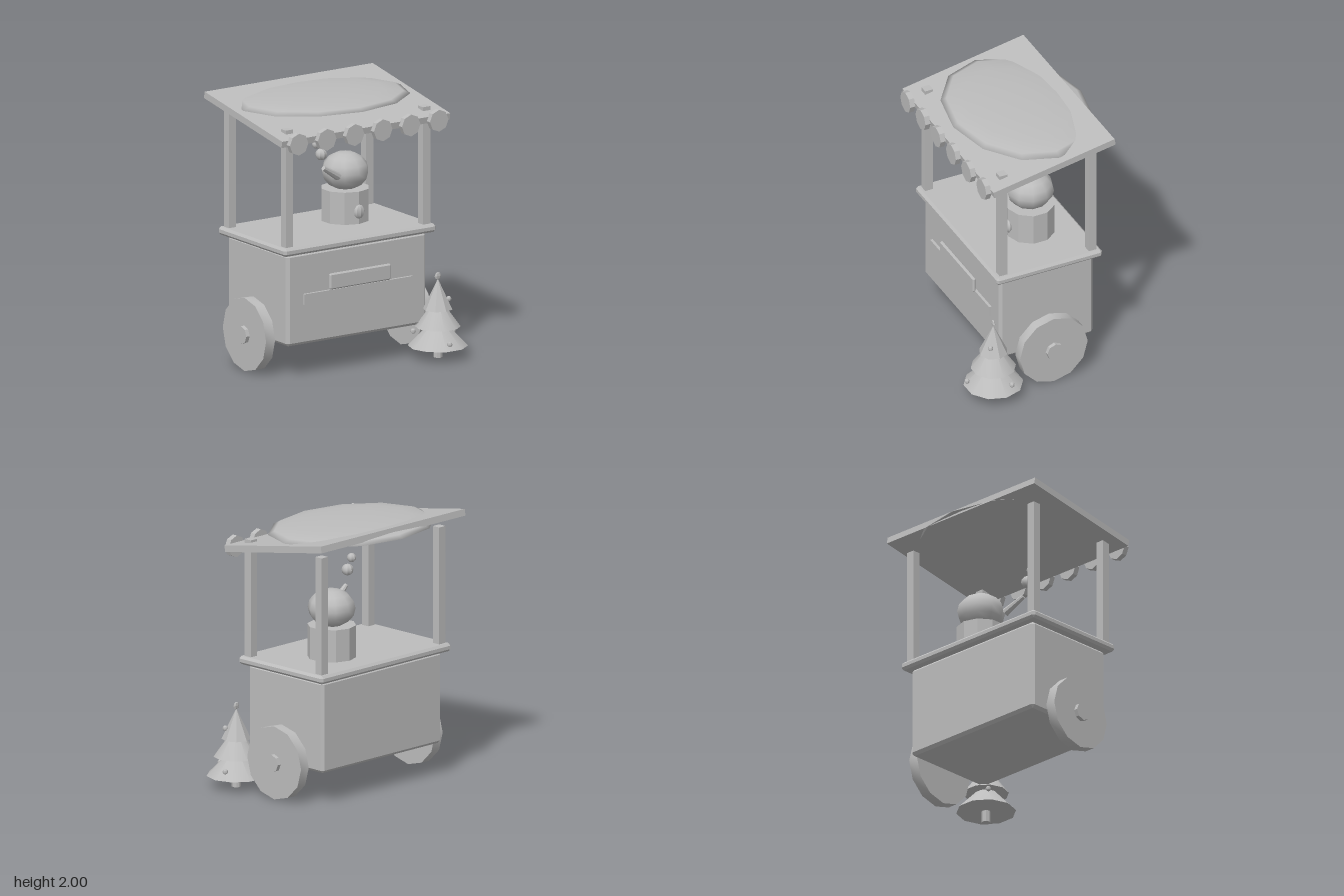
import * as THREE from 'three';
import { toCreasedNormals } from 'three/addons/utils/BufferGeometryUtils.js';
import { ConvexGeometry } from 'three/addons/geometries/ConvexGeometry.js';

export function createModel() {
  const model = new THREE.Group();
  model.name = 'foodCart';
  const grey = new THREE.MeshStandardMaterial({ color: 0xbcbcbc, side: THREE.DoubleSide });
  grey.name = 'plain grey';

  const CX = -0.064, CZ = -0.039; // middle of the cart

  const add = (name, geometry, x, y, z, parent = model) => {
    const mesh = new THREE.Mesh(geometry, grey);
    mesh.name = name;
    mesh.position.set(x, y, z);
    parent.add(mesh);
    return mesh;
  };
  const crease = (g) => toCreasedNormals(g, 0.55);
  const cylinder = (rTop, rBottom, h, sides) => crease(new THREE.CylinderGeometry(rTop, rBottom, h, sides));
  const ball = (r, sides = 8, rings = 6) => crease(new THREE.SphereGeometry(r, sides, rings));

  // Box with chamfered edges
  const bevelBox = (w, h, d, b) => {
    const points = [];
    for (const sx of [-1, 1]) for (const sy of [-1, 1]) for (const sz of [-1, 1]) {
      for (let axis = 0; axis < 3; axis++) {
        const inset = [0, 1, 2].map((i) => (i === axis ? 0 : b));
        points.push(new THREE.Vector3(
          sx * (w / 2 - inset[0]), sy * (h / 2 - inset[1]), sz * (d / 2 - inset[2])));
      }
    }
    return new ConvexGeometry(points);
  };

  // Cart body, counter and front boards
  add('cartBody', bevelBox(1.24, 0.69, 0.762, 0.022), CX, 0.585, CZ);
  add('counter', bevelBox(1.35, 0.062, 0.858, 0.018), CX, 0.961, CZ);
  add('frontShelf', new THREE.BoxGeometry(0.965, 0.08, 0.04), CX, 0.582, 0.342);
  add('signBoard', bevelBox(0.545, 0.12, 0.028, 0.01), CX, 0.69, 0.376);

  // Wheels and hubs
  for (const side of [-1, 1]) {
    const wheel = new THREE.Group();
    wheel.name = side > 0 ? 'leftWheel' : 'rightWheel';
    wheel.position.set(CX + side * 0.695, 0.276, CZ);
    add('tyre', cylinder(0.275, 0.275, 0.08, 12), 0, 0, 0, wheel).rotation.z = Math.PI / 2;
    add('hub', cylinder(0.067, 0.067, 0.09, 8), side * 0.025, 0, 0, wheel).rotation.z = Math.PI / 2;
    model.add(wheel);
  }

  // Posts
  for (const sx of [-1, 1]) for (const sz of [-1, 1]) {
    add('post', new THREE.BoxGeometry(0.065, 0.89, 0.064), CX + sx * 0.61, 1.428, CZ + sz * 0.362);
  }

  // Sloping canopy with a shallow dome and scalloped front
  add('canopy', new THREE.BoxGeometry(1.494, 0.05, 1), CX, 1.888, CZ).rotation.x = 0.175;
  const dome = new THREE.SphereGeometry(1, 12, 4, 0, Math.PI * 2, 0, Math.PI / 2);
  dome.scale(0.697, 0.063, 0.521);
  add('canopyDome', dome, CX, 1.934, -0.106);
  for (let i = 0; i < 6; i++) {
    add('scallop', cylinder(0.082, 0.082, 0.042, 8), CX + (i - 2.5) * 0.249, 1.794, 0.474)
      .rotation.x = Math.PI / 2;
  }

  // Kettle: drum, round top, front knob, spout and steam
  const kettle = new THREE.Group();
  kettle.name = 'kettle';
  model.add(kettle);
  add('kettleDrum', cylinder(0.18, 0.18, 0.25, 10), 0.143, 1.109, -0.108, kettle);
  const head = new THREE.SphereGeometry(0.178, 10, 8);
  head.rotateY(Math.PI / 2);
  head.scale(0.98, 0.8, 1);
  add('kettleTop', head, 0.144, 1.36, -0.107, kettle);
  add('knob', ball(0.05), 0.143, 1.085, 0.073, kettle).scale.set(0.92, 1.05, 0.5);
  const base = new THREE.Vector3(0.005, 1.353, 0), tip = new THREE.Vector3(-0.149, 1.445, 0.035);
  const axis = tip.clone().sub(base);
  const spout = add('spout', cylinder(0.017, 0.03, axis.length(), 8), 0, 0, 0, kettle);
  spout.position.copy(base).lerp(tip, 0.5);
  spout.quaternion.setFromUnitVectors(new THREE.Vector3(0, 1, 0), axis.normalize());
  add('steamPuff', ball(0.044), -0.176, 1.556, 0.045, kettle);
  add('steamPuff', ball(0.034), -0.218, 1.638, 0.045, kettle);

  // Small tree with tiers, topper and baubles
  const tree = new THREE.Group();
  tree.name = 'tree';
  tree.position.set(0.6, 0, 0.418);
  model.add(tree);
  add('trunk', cylinder(0.033, 0.033, 0.12, 8), 0, 0.06, 0, tree);
  for (const [r, y, sides] of [[0.22, 0.087, 10], [0.167, 0.23, 10], [0.108, 0.36, 8]]) {
    const tier = crease(new THREE.ConeGeometry(r, 0.228, sides));
    tier.rotateY(Math.PI / 2);
    add('treeTier', tier, 0, y + 0.114, 0, tree);
  }
  add('treeTopper', ball(0.029, 6, 4), 0, 0.608, 0, tree).scale.z = 0.35;
  const baubles = [
    [0.06, 0.44, 0.053], [-0.115, 0.322, -0.124], [-0.137, 0.19, -0.118],
    [-0.033, 0.138, 0.198], [0.178, 0.156, -0.063],
  ];
  for (const [x, y, z] of baubles) add('bauble', ball(0.02), x, y, z, tree);

  return model;
}
